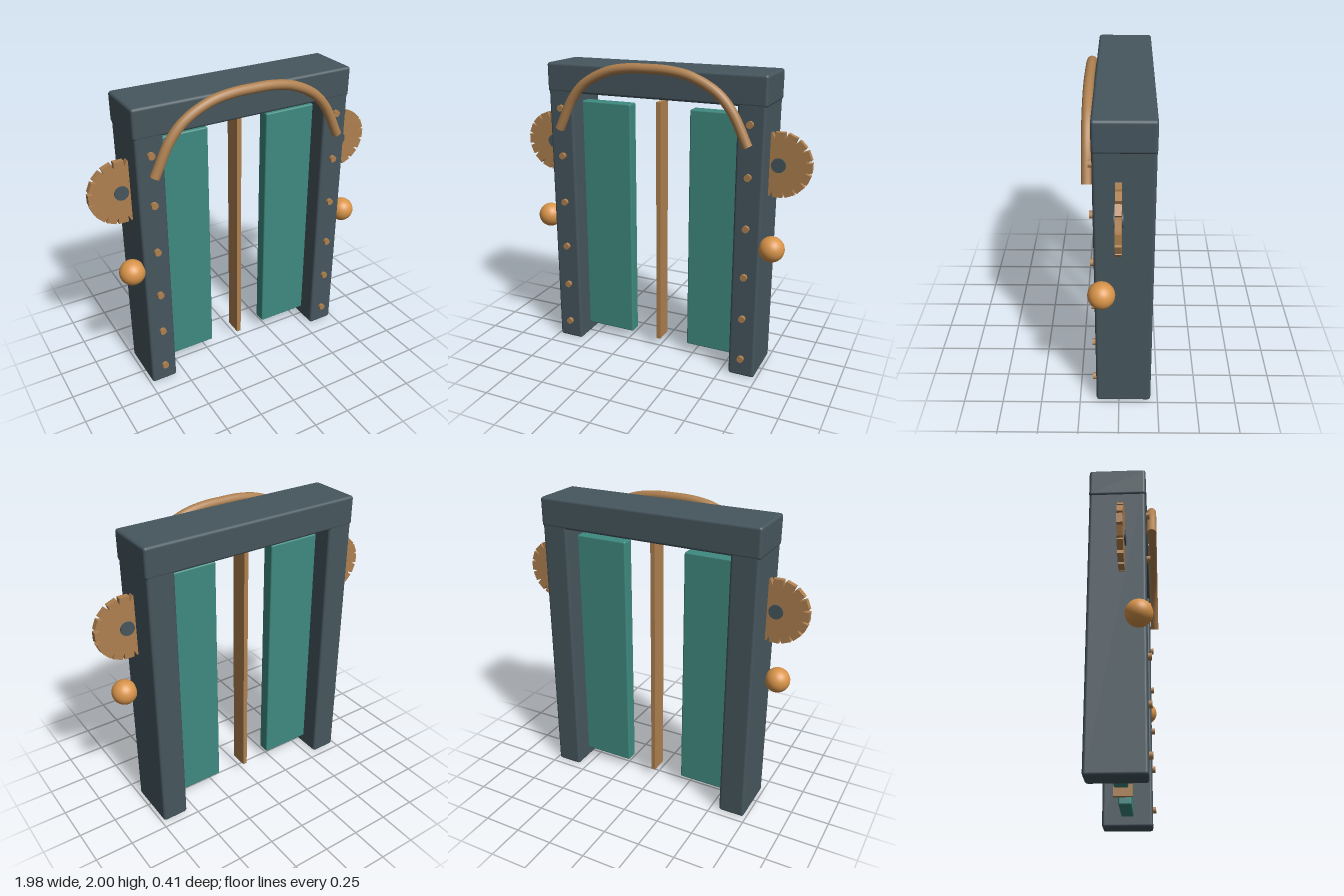
import * as THREE from 'three';
import { RoundedBoxGeometry } from 'three/addons/geometries/RoundedBoxGeometry.js';

export function createModel() {
  const model = new THREE.Group();
  model.name = 'slidingDoorway';

  const material = (name, color) => {
    const m = new THREE.MeshStandardMaterial({ color });
    m.name = name;
    return m;
  };
  const slate = material('slate', 0x46565e);
  const teal = material('teal', 0x3f8a80);
  const copper = material('copper', 0xae8050);
  const amber = material('amber', 0xd8944a);

  const add = (parent, name, geometry, mat, x = 0, y = 0, z = 0) => {
    const mesh = new THREE.Mesh(geometry, mat);
    mesh.name = name;
    mesh.position.set(x, y, z);
    parent.add(mesh);
    return mesh;
  };
  // Rounded box given by its minimum and maximum corners
  const block = (name, mat, min, max, radius) => {
    const s = max.map((v, i) => v - min[i]);
    const c = max.map((v, i) => (v + min[i]) / 2);
    return add(model, name, new RoundedBoxGeometry(...s, 3, radius), mat, ...c);
  };

  // Lintel and centre strip
  block('lintel', slate, [-0.74, 1.78, -0.206], [0.74, 1.97, 0.146], 0.018);
  add(model, 'centreStrip', new THREE.BoxGeometry(0.03, 1.67, 0.12), copper, 0, 0.91, -0.03);

  // Toothed wheel with a hub, facing along z
  const makeGear = () => {
    const gear = new THREE.Group();
    gear.name = 'gear';
    const disc = new THREE.CylinderGeometry(0.168, 0.168, 0.036, 32).rotateX(Math.PI / 2);
    add(gear, 'gearDisc', disc, copper);
    const tooth = new THREE.BoxGeometry(0.055, 0.062, 0.036);
    for (let i = 0; i < 16; i++) {
      const a = (i / 16) * Math.PI * 2;
      const mesh = add(gear, 'gearTooth', tooth, copper, Math.cos(a) * 0.174, Math.sin(a) * 0.174, 0);
      mesh.rotation.z = a;
    }
    const hub = new THREE.CylinderGeometry(0.045, 0.045, 0.054, 24).rotateX(Math.PI / 2);
    add(gear, 'gearHub', hub, slate);
    return gear;
  };

  // Mirrored sides: post, door panel, gear, ball and rivets
  const rivet = new THREE.CylinderGeometry(0.022, 0.022, 0.04, 12).rotateX(Math.PI / 2);
  for (const [side, label] of [[1, 'left'], [-1, 'right']]) {
    const span = (a, b) => (side > 0 ? [a, b] : [-b, -a]);
    const [p0, p1] = span(0.558, 0.733);
    block(label + 'Post', slate, [p0, 0.005, -0.204], [p1, 1.83, 0.144], 0.018);
    const [d0, d1] = span(0.208, 0.57);
    block(label + 'Door', teal, [d0, 0.075, -0.072], [d1, 1.713, 0.013], 0.01);

    const gear = makeGear();
    gear.position.set(side * 0.79, 1.42, 0);
    model.add(gear);

    add(model, label + 'Ball', new THREE.SphereGeometry(0.081, 32, 20), amber, side * 0.796, 0.91, 0.1);
    for (const y of [1.68, 1.36, 1.035, 0.713, 0.425, 0.135]) {
      add(model, 'rivet', rivet, copper, side * 0.643, y, 0.147);
    }
  }

  // Arched pipe over the lintel, with closed ends
  const half = [[0.64, 1.55], [0.535, 1.755], [0.44, 1.857], [0.28, 1.938], [0.14, 1.965]];
  const points = [
    ...half.map(([x, y]) => new THREE.Vector3(-x, y, 0.177)),
    new THREE.Vector3(0, 1.969, 0.177),
    ...half.slice().reverse().map(([x, y]) => new THREE.Vector3(x, y, 0.177)),
  ];
  const path = new THREE.CatmullRomCurve3(points);
  add(model, 'archPipe', new THREE.TubeGeometry(path, 64, 0.031, 16), copper);
  for (const t of [0, 1]) {
    const cap = add(model, 'pipeEnd', new THREE.CircleGeometry(0.031, 16), copper);
    cap.position.copy(path.getPointAt(t));
    const outward = path.getTangentAt(t).multiplyScalar(t ? 1 : -1);
    cap.quaternion.setFromUnitVectors(new THREE.Vector3(0, 0, 1), outward);
  }

  return model;
}
